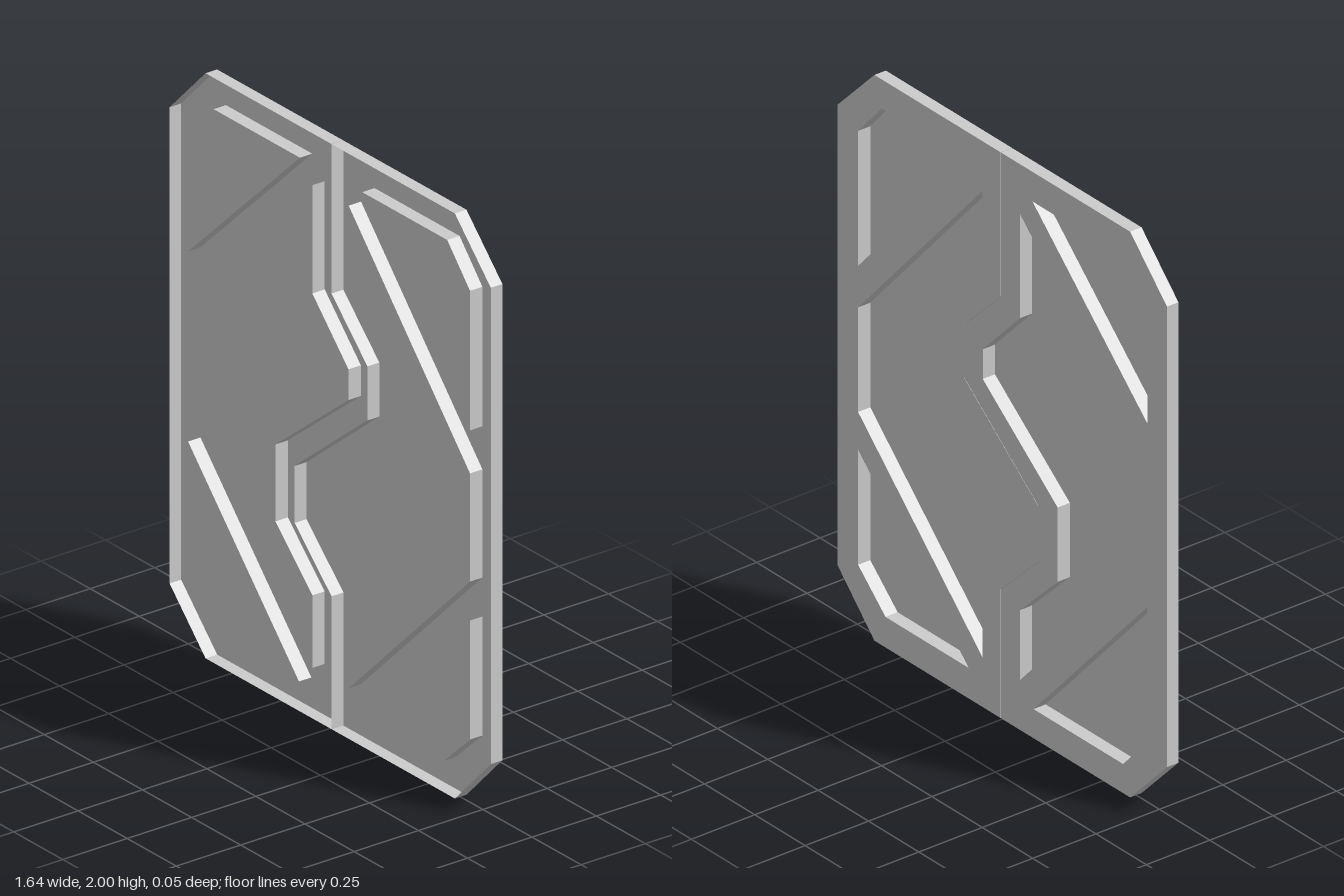
import * as THREE from 'three';

const BACK = -0.024, RIM = 0.021, PANEL = 0.024;
const material = new THREE.MeshStandardMaterial({ color: 0xcccccc, side: THREE.DoubleSide });
const toPoints = (list) => list.map(([x, y]) => new THREE.Vector2(x, y));

// Flat sheet facing front, with optional cut-outs
function sheet(name, outline, z, holes = []) {
  const shape = new THREE.Shape(toPoints(outline));
  holes.forEach((h) => shape.holes.push(new THREE.Path(toPoints(h))));
  const mesh = new THREE.Mesh(new THREE.ShapeGeometry(shape).translate(0, 0, z), material);
  mesh.name = name;
  return mesh;
}

// Closed band of flat walls around an outline
function band(name, outline, z0, z1) {
  const pos = [];
  outline.forEach(([ax, ay], i) => {
    const [bx, by] = outline[(i + 1) % outline.length];
    pos.push(ax, ay, z0, bx, by, z0, bx, by, z1, ax, ay, z0, bx, by, z1, ax, ay, z1);
  });
  const g = new THREE.BufferGeometry();
  g.setAttribute('position', new THREE.Float32BufferAttribute(pos, 3));
  g.computeVertexNormals();
  const mesh = new THREE.Mesh(g, material);
  mesh.name = name;
  return mesh;
}

// Zigzag line where the two leaves meet, top to bottom
const seam = [[0.007, 2], [0.007, 1.49], [0.19, 1.31], [0.19, 1.125],
  [-0.18, 0.83], [-0.18, 0.635], [0.007, 0.455], [0.007, 0]];

// Outer chamfered edge of a leaf, bottom to top
const outerEdge = (s) => [[0.635, 0], [0.818, 0.187], [0.818, 1.815], [0.635, 2]].map(([x, y]) => [s * x, y]);

// Pressed panels of each leaf
const rightSidePanels = {
  upperPanel: [[0.167, 1.897], [0.6, 1.897], [0.716, 1.767], [0.716, 1.29]],
  mainPanel: [[0.098, 1.825], [0.098, 1.525], [0.285, 1.34], [0.285, 1.085], [-0.09, 0.788],
    [-0.09, 0.677], [0.098, 0.492], [0.098, 0.175], [0.716, 0.773], [0.716, 1.143]],
  lowerPanel: [[0.716, 0.64], [0.716, 0.233], [0.58, 0.108], [0.167, 0.108]],
};
const leftSidePanels = {
  upperPanel: [[-0.59, 1.895], [-0.15, 1.895], [-0.72, 1.36], [-0.72, 1.77]],
  mainPanel: [[-0.087, 1.825], [-0.087, 1.455], [0.097, 1.265], [0.097, 1.16], [-0.275, 0.868],
    [-0.275, 0.605], [-0.087, 0.423], [-0.087, 0.175], [-0.72, 0.857], [-0.72, 1.23]],
  lowerPanel: [[-0.72, 0.71], [-0.155, 0.103], [-0.6, 0.103], [-0.72, 0.233]],
};

// One leaf: back frame, rim flange, and panels pressed through to the front
function leaf(name, side, panels) {
  const group = new THREE.Group();
  group.name = name;
  const outline = [...seam.map(([x, y]) => [x + side * 0.001, y]), ...outerEdge(side)];
  group.add(sheet('frame', outline, BACK, Object.values(panels)));
  group.add(band('rim', outline, BACK, RIM));
  for (const [part, points] of Object.entries(panels)) {
    group.add(sheet(part, points, PANEL));
    group.add(band(part + 'Walls', points, BACK, PANEL));
  }
  return group;
}

export function createModel() {
  const door = new THREE.Group();
  door.name = 'slidingDoor';
  door.add(leaf('leftLeaf', 1, rightSidePanels), leaf('rightLeaf', -1, leftSidePanels));
  return door;
}
